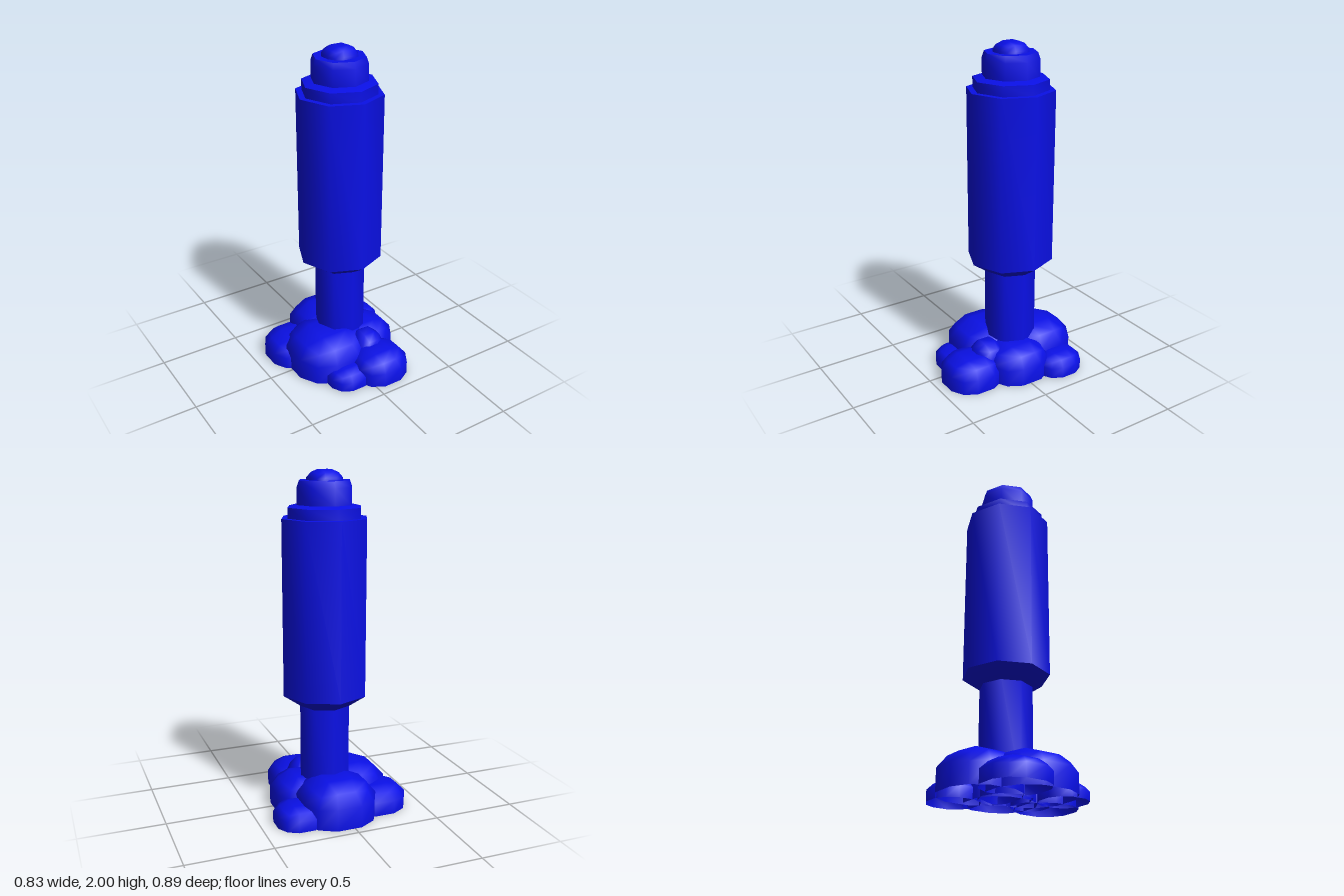
import * as THREE from 'three';
import { mergeVertices, toCreasedNormals } from 'three/addons/utils/BufferGeometryUtils.js';

const AXIS_X = 0.036, AXIS_Z = -0.055;

// Flattened dome from a box bent into a sphere, open below, with straight walls under its rim
function domeGeometry(radius, height) {
  const box = new THREE.BoxGeometry(2, 2, 2, 3, 2, 3);
  const index = Array.from(box.index.array);
  index.splice(box.groups[3].start, box.groups[3].count); // leave out the underside
  box.setIndex(index);
  box.clearGroups();
  box.deleteAttribute('normal');
  box.deleteAttribute('uv');

  const position = box.attributes.position;
  const v = new THREE.Vector3();
  const reach = Math.sqrt(9 / 11); // outermost distance of the middle face points
  for (let i = 0; i < position.count; i++) {
    v.fromBufferAttribute(position, i);
    const onGround = v.y < -0.5;
    v.y = Math.max(v.y, 1 / 3);
    v.normalize().divideScalar(reach);
    const y = onGround ? 0 : height * (0.33 + 0.67 * v.y);
    position.setXYZ(i, v.x * radius, y, v.z * radius);
  }
  const geometry = mergeVertices(box);
  geometry.computeVertexNormals();
  return geometry;
}

export function createModel() {
  const model = new THREE.Group();
  const material = new THREE.MeshStandardMaterial({ color: 0x0a10e6, side: THREE.DoubleSide });

  function add(name, geometry, x, y, z) {
    const mesh = new THREE.Mesh(geometry, material);
    mesh.name = name;
    mesh.position.set(x, y, z);
    model.add(mesh);
  }

  // Octagonal column parts, each a list of [radius, height] from bottom to top
  const parts = {
    stem: [[0.155, 0], [0.155, 0.66]],
    body: [[0, 0.64], [0.155, 0.64], [0.256, 0.71], [0.256, 1.735], [0, 1.735]],
    shoulder: [[0.22, 1.73], [0.22, 1.795], [0.165, 1.808], [0, 1.808]],
    collar: [[0.165, 1.8], [0.165, 1.905], [0.152, 1.942], [0, 1.942]],
  };
  for (const [name, profile] of Object.entries(parts)) {
    const points = profile.map(([r, y]) => new THREE.Vector2(r, y));
    const geometry = toCreasedNormals(new THREE.LatheGeometry(points, 8), 0.87);
    add(name, geometry, AXIS_X, 0, AXIS_Z);
  }

  // Small dome on top
  add('tipDome', domeGeometry(0.097, 0.1), AXIS_X, 1.9, AXIS_Z);

  // Rounded mounds around the foot: x, z, radius, height
  const mounds = [
    [0.033, -0.223, 0.225, 0.24],
    [-0.095, 0.01, 0.25, 0.235],
    [0.155, -0.01, 0.197, 0.2],
    [0.268, -0.243, 0.144, 0.12],
    [-0.231, -0.172, 0.183, 0.145],
    [0.107, 0.272, 0.173, 0.2],
    [-0.097, 0.241, 0.135, 0.105],
    [0.1, 0.155, 0.105, 0.22],
  ];
  mounds[5][3] = 0.165;
  mounds.forEach(([x, z, radius, height], i) => {
    add(`baseMound${i + 1}`, domeGeometry(radius, height), x, 0, z);
  });

  return model;
}
